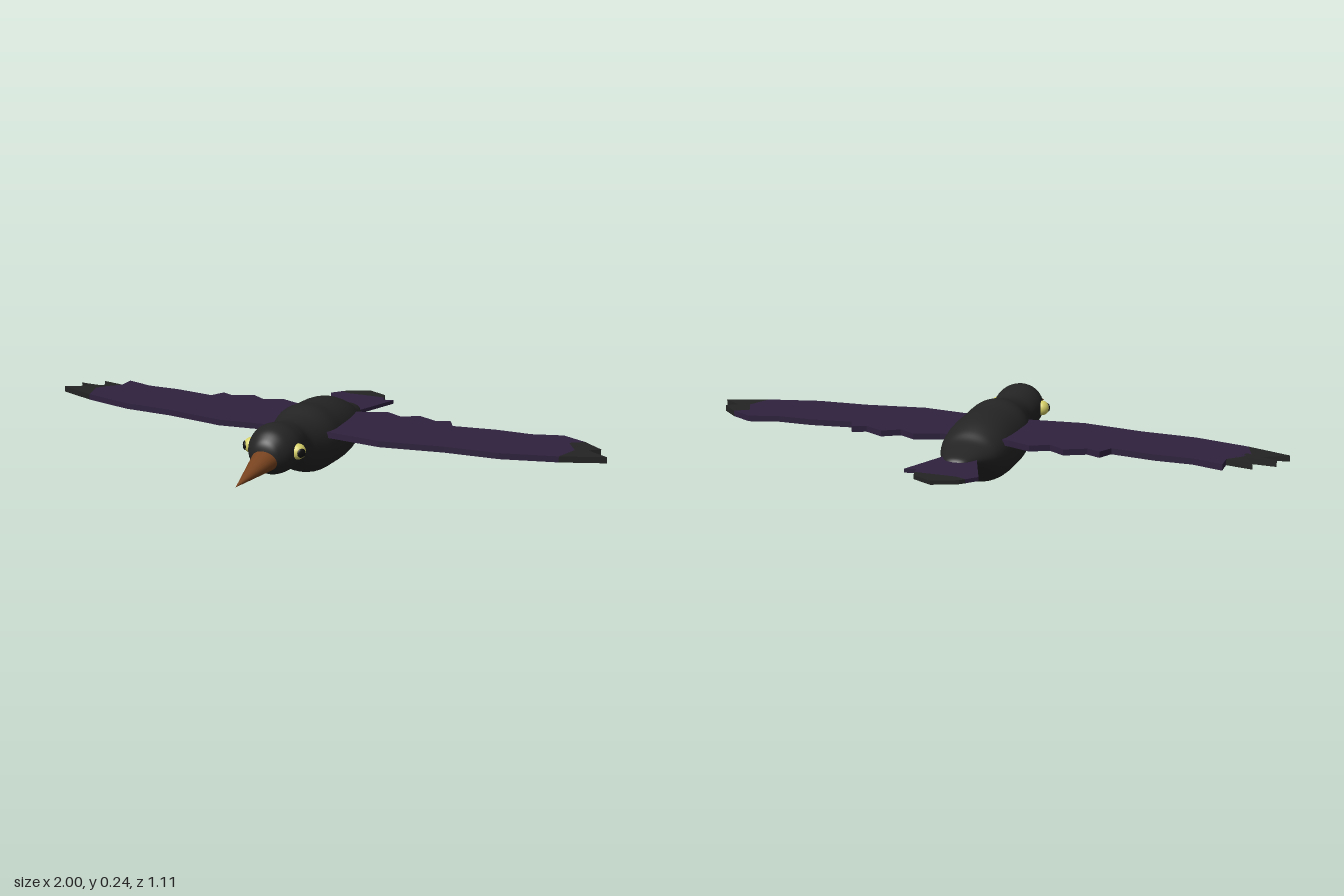
import * as THREE from 'three';
import { mergeVertices } from 'three/addons/utils/BufferGeometryUtils.js';

const mat = (name, color, side = THREE.FrontSide) => {
  const m = new THREE.MeshStandardMaterial({ color, side });
  m.name = name;
  return m;
};

function add(parent, name, geometry, material) {
  const mesh = new THREE.Mesh(geometry, material);
  mesh.name = name;
  parent.add(mesh);
  return mesh;
}

// Smooth body lofted through stations of [z, top, bottom, half width], nose to tail
function loft(stations) {
  const top = new THREE.CatmullRomCurve3(stations.map(([z, t, , w]) => new THREE.Vector3(w, t, z)), false, 'catmullrom');
  const low = new THREE.CatmullRomCurve3(stations.map(([z, , b, w]) => new THREE.Vector3(w, b, z)), false, 'catmullrom');
  const g = new THREE.CylinderGeometry(1, 1, 1, 40, 80, true);
  const p = g.attributes.position, uv = g.attributes.uv;
  for (let i = 0; i < p.count; i++) {
    const t = 1 - uv.getY(i);
    const a = top.getPoint(t), b = low.getPoint(t);
    const mid = (a.y + b.y) / 2, half = (a.y - b.y) / 2;
    p.setXYZ(i, p.getX(i) * a.x, mid - p.getZ(i) * half, a.z);
  }
  g.deleteAttribute('uv');
  g.deleteAttribute('normal');
  const merged = mergeVertices(g, 1e-5);
  merged.computeVertexNormals();
  return merged;
}

// Flat horizontal plate from an [x, z] outline, centred on height y
function plate(outline, y, thickness, side = 1) {
  const shape = new THREE.Shape(outline.map(([x, z]) => new THREE.Vector2(x * side, z)));
  const g = new THREE.ExtrudeGeometry(shape, { depth: thickness, bevelEnabled: false });
  g.rotateX(Math.PI / 2);
  g.translate(0, y + thickness / 2, 0);
  return g;
}

export function createModel() {
  const bird = new THREE.Group();
  bird.name = 'bird';
  const black = mat('black plumage', 0x242424);
  const purple = mat('purple feathers', 0x2e213d);
  const brown = mat('brown beak', 0x78431f);
  const yellow = mat('yellow eye', 0xd6d068);
  const pupilBlack = mat('pupil black', 0x101010);

  // Head, neck and body
  add(bird, 'body', loft([
    [0.366, 0.165, 0.165, 0], [0.36, 0.196, 0.125, 0.035], [0.345, 0.216, 0.104, 0.056],
    [0.315, 0.236, 0.086, 0.076], [0.27, 0.244, 0.08, 0.086], [0.22, 0.235, 0.081, 0.082],
    [0.17, 0.226, 0.069, 0.075], [0.12, 0.229, 0.038, 0.092], [0.05, 0.245, 0.011, 0.117],
    [-0.02, 0.237, 0.007, 0.122], [-0.1, 0.232, 0.005, 0.122], [-0.16, 0.222, 0.015, 0.117],
    [-0.21, 0.202, 0.042, 0.105], [-0.25, 0.178, 0.07, 0.089], [-0.3, 0.162, 0.098, 0.064],
    [-0.345, 0.148, 0.117, 0.037], [-0.362, 0.131, 0.131, 0],
  ]), black);

  // Beak: a cone whose tip droops below its base centre
  const beak = new THREE.ConeGeometry(1, 0.215, 32);
  beak.rotateX(Math.PI / 2);
  beak.scale(0.047, 0.039, 1);
  beak.applyMatrix4(new THREE.Matrix4().makeShear(0, 0, 0, 0, 0, -0.12));
  beak.translate(0, 0.133, 0.4475);
  add(bird, 'beak', beak, brown);

  // Wings: a shared main plate, with a different feathered tip on each side
  const wing = [
    [0.05, 0.08], [0.12, 0.085], [0.29, 0.105], [0.5, 0.072], [0.68, 0.063], [0.86, 0.018],
  ];
  const trailing = [
    [0.82, -0.2], [0.72, -0.17], [0.6, -0.17], [0.455, -0.15], [0.43, -0.2],
    [0.385, -0.18], [0.315, -0.215], [0.26, -0.18], [0.2, -0.212], [0.12, -0.18], [0.05, -0.17],
  ];
  const wings = [
    { side: 1, name: 'leftWing', seam: [[0.89, -0.065], [0.855, -0.13], [0.9, -0.16]],
      tip: [[0.965, -0.105], [0.93, -0.078], [1, -0.035]] },
    { side: -1, name: 'rightWing', seam: [[0.885, -0.065], [0.86, -0.1], [0.82, -0.14]],
      tip: [[0.905, -0.158], [0.87, -0.1], [0.97, -0.105], [0.87, -0.057], [1, -0.035]] },
  ];
  for (const { side, name, seam, tip } of wings) {
    const g = new THREE.Group();
    g.name = name;
    bird.add(g);
    add(g, 'wingFeathers', plate([...wing, ...seam, ...trailing], 0.163, 0.02, side), purple);
    add(g, 'wingTip', plate([[0.86, 0.018], ...seam, ...tip], 0.163, 0.02, side), black);
  }

  // Fan tail with a dark tip
  add(bird, 'tail', plate([
    [-0.03, -0.25], [-0.055, -0.3], [-0.125, -0.47], [-0.095, -0.505], [-0.06, -0.49],
    [0.078, -0.49], [0.085, -0.462], [0.122, -0.47], [0.055, -0.3], [0.03, -0.25],
  ], 0.131, 0.013), purple);
  add(bird, 'tailTip', plate([
    [-0.095, -0.505], [-0.06, -0.49], [0.078, -0.49], [0.07, -0.52], [0, -0.555], [-0.08, -0.52],
  ], 0.131, 0.013), black);

  // Eyes with pupils facing outward and slightly forward
  for (const side of [1, -1]) {
    const eye = new THREE.Group();
    eye.name = side > 0 ? 'leftEye' : 'rightEye';
    eye.position.set(side * 0.082, 0.163, 0.278);
    eye.rotation.y = side * 0.95;
    bird.add(eye);
    add(eye, 'eyeball', new THREE.SphereGeometry(0.026, 24, 16), yellow);
    const pupil = add(eye, 'pupil', new THREE.SphereGeometry(0.015, 20, 12), pupilBlack);
    pupil.scale.z = 0.4;
    pupil.position.z = 0.0225;
  }
  return bird;
}
